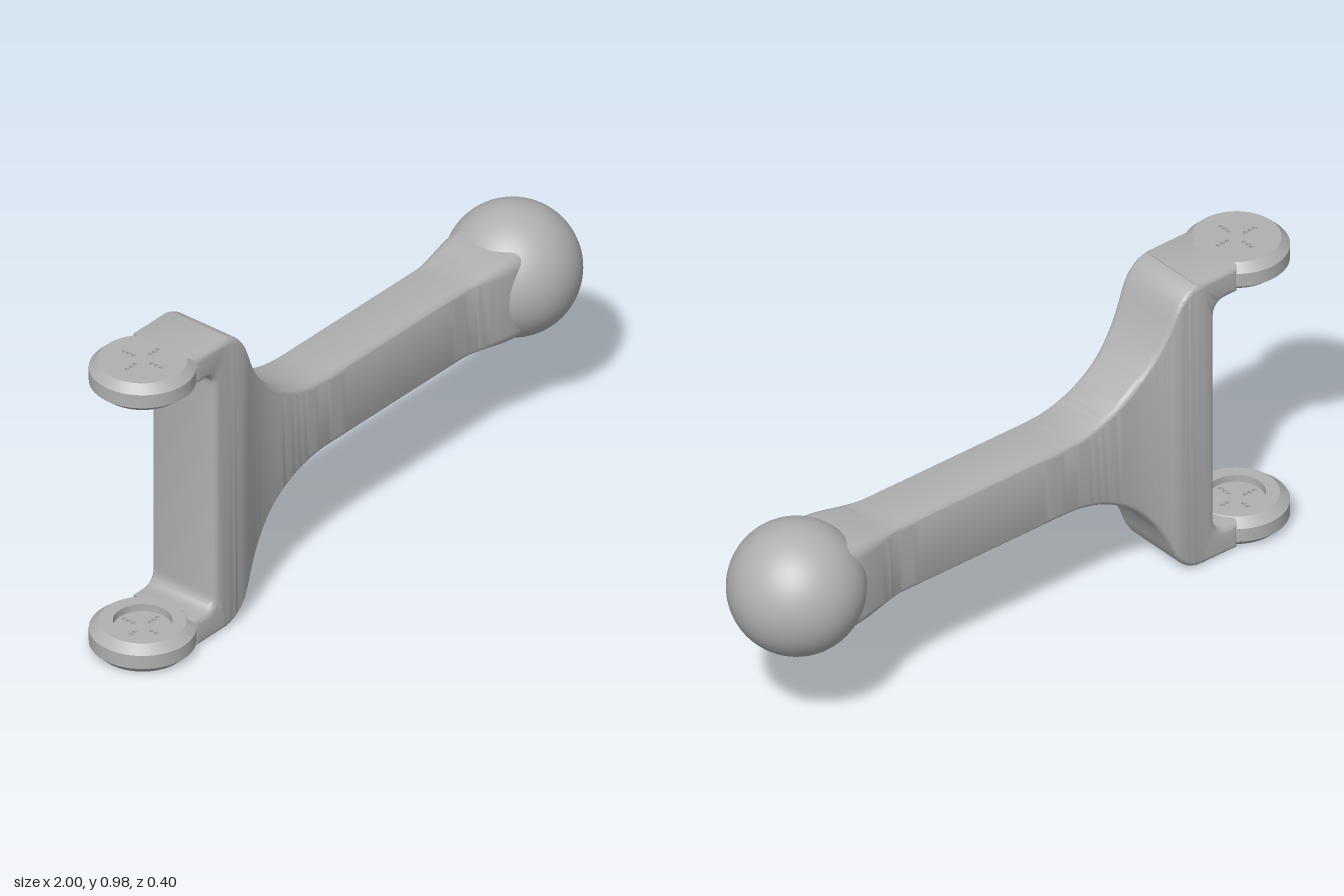
import * as THREE from 'three';
import { toCreasedNormals } from 'three/addons/utils/BufferGeometryUtils.js';

const MID = 0.4875; // height of the symmetry plane
const R = 0.02;     // edge rounding

// Rounded rectangle cross-section in the zy plane
function section(h, d, r) {
  const pts = [];
  const N = 5;
  [[1, 1], [-1, 1], [-1, -1], [1, -1]].forEach(([sz, sy], q) => {
    for (let i = 0; i <= N; i++) {
      const a = (q + i / N) * Math.PI / 2;
      pts.push([sz * (d - r) + r * Math.cos(a), sy * (h - r) + r * Math.sin(a)]);
    }
  });
  return pts;
}

// Skin the sections along x; each station is a vector (x, half height, half depth)
function loft(stations) {
  const pos = [], idx = [];
  let n = 0;
  stations.forEach((s) => {
    const ring = section(s.y, s.z, R + 0.02 * THREE.MathUtils.smoothstep(s.x, 0.5, 0.66));
    n = ring.length;
    ring.forEach(([z, y]) => pos.push(s.x, y, z));
  });
  for (let i = 0; i < stations.length - 1; i++) {
    for (let j = 0; j < n; j++) {
      const a = i * n + j, b = i * n + (j + 1) % n;
      idx.push(a, b, a + n, b, b + n, a + n);
    }
  }
  // flat end caps
  const last = (stations.length - 1) * n;
  for (let j = 1; j < n - 1; j++) {
    idx.push(0, j + 1, j, last, last + j, last + j + 1);
  }
  const g = new THREE.BufferGeometry();
  g.setAttribute('position', new THREE.Float32BufferAttribute(pos, 3));
  g.setIndex(idx);
  // make the winding face outward
  const signed = volume(pos, idx);
  if (signed < 0) {
    for (let i = 0; i < idx.length; i += 3) [idx[i], idx[i + 1]] = [idx[i + 1], idx[i]];
    g.setIndex(idx);
  }
  return toCreasedNormals(g, 0.6);
}

function volume(pos, idx) {
  const [a, b, c] = [0, 0, 0].map(() => new THREE.Vector3());
  let v = 0;
  for (let i = 0; i < idx.length; i += 3) {
    a.fromArray(pos, idx[i] * 3);
    b.fromArray(pos, idx[i + 1] * 3);
    c.fromArray(pos, idx[i + 2] * 3);
    v += a.dot(b.cross(c));
  }
  return v;
}

// C-shaped fork with filleted inner corners
function forkGeometry() {
  const end = -0.757, inner = -0.667, back = -0.6, out = MID, gap = 0.397, f = 0.045;
  const s = new THREE.Shape();
  s.moveTo(end, -out);
  s.lineTo(back, -out);
  s.lineTo(back, out);
  s.lineTo(end, out);
  s.lineTo(end, gap);
  s.lineTo(inner - f, gap);
  s.quadraticCurveTo(inner, gap, inner, gap - f);
  s.lineTo(inner, f - gap);
  s.quadraticCurveTo(inner, -gap, inner - f, -gap);
  s.lineTo(end, -gap);
  s.closePath();
  const depth = 0.24 - 2 * R;
  const g = new THREE.ExtrudeGeometry(s, {
    depth, bevelEnabled: true, bevelThickness: R, bevelSize: R, bevelOffset: -R,
    bevelSegments: 4, curveSegments: 8,
  });
  g.translate(0, 0, -depth / 2);
  return toCreasedNormals(g, 0.6);
}

// Chamfered rim with the wall of the recess on its inner face
function rimGeometry() {
  const profile = [[0.085, 0.418], [0.085, 0.395], [0.125, 0.395], [0.154, 0.419],
    [0.154, 0.463], [0.129, MID], [0.118, MID]];
  const g = new THREE.LatheGeometry(profile.map(([x, y]) => new THREE.Vector2(x, y)), 64);
  return toCreasedNormals(g, 0.5);
}

// Disc pierced by a cross of small holes
function plateGeometry() {
  const s = new THREE.Shape().absarc(0, 0, 0.12, 0, Math.PI * 2);
  for (let k = 0; k < 4; k++) {
    const a = k * Math.PI / 2;
    for (const r of [0.034, 0.051, 0.068]) {
      s.holes.push(new THREE.Path().absarc(r * Math.cos(a), r * Math.sin(a), 0.007, 0, Math.PI * 2, true));
    }
  }
  const g = new THREE.ExtrudeGeometry(s, { depth: MID - 0.418, bevelEnabled: false, curveSegments: 16 });
  g.rotateX(-Math.PI / 2);
  g.translate(0, 0.418, 0);
  return g;
}

export function createModel() {
  const group = new THREE.Group();
  const grey = new THREE.MeshStandardMaterial({ color: 0xb0b0b0 });
  grey.name = 'grey';
  const add = (name, geometry, parent = group) => {
    const m = new THREE.Mesh(geometry, grey);
    m.name = name;
    parent.add(m);
    return m;
  };

  // stem: shoulder sweeping into a bar that flares at the ball
  const keys = [
    [-0.63, MID, 0.12], [-0.605, 0.486, 0.12], [-0.57, 0.473, 0.12], [-0.54, 0.445, 0.12],
    [-0.52, 0.41, 0.118], [-0.5, 0.365, 0.114], [-0.46, 0.295, 0.106], [-0.4, 0.226, 0.097],
    [-0.34, 0.18, 0.094], [-0.27, 0.145, 0.093], [-0.2, 0.126, 0.093], [-0.13, 0.12, 0.093],
    [-0.05, 0.12, 0.093], [0.42, 0.12, 0.093], [0.49, 0.12, 0.094], [0.53, 0.122, 0.101],
    [0.64, 0.139, 0.123], [0.7, 0.143, 0.127],
  ].map((k) => new THREE.Vector3(...k));
  add('stem', loft(new THREE.CatmullRomCurve3(keys).getPoints(85))).position.y = MID;

  add('fork', forkGeometry()).position.y = MID;

  const ball = add('ball', new THREE.SphereGeometry(0.202, 64, 40));
  ball.position.set(0.798, MID + 0.001, 0);

  // matching end pads on the two fork arms
  const rim = rimGeometry(), plate = plateGeometry();
  for (const [name, turn] of [['upperPad', 0], ['lowerPad', Math.PI]]) {
    const pad = new THREE.Group();
    pad.name = name;
    pad.position.set(-0.846, MID, 0);
    pad.rotation.x = turn;
    add('padRim', rim, pad);
    add('padPlate', plate, pad);
    group.add(pad);
  }
  return group;
}
